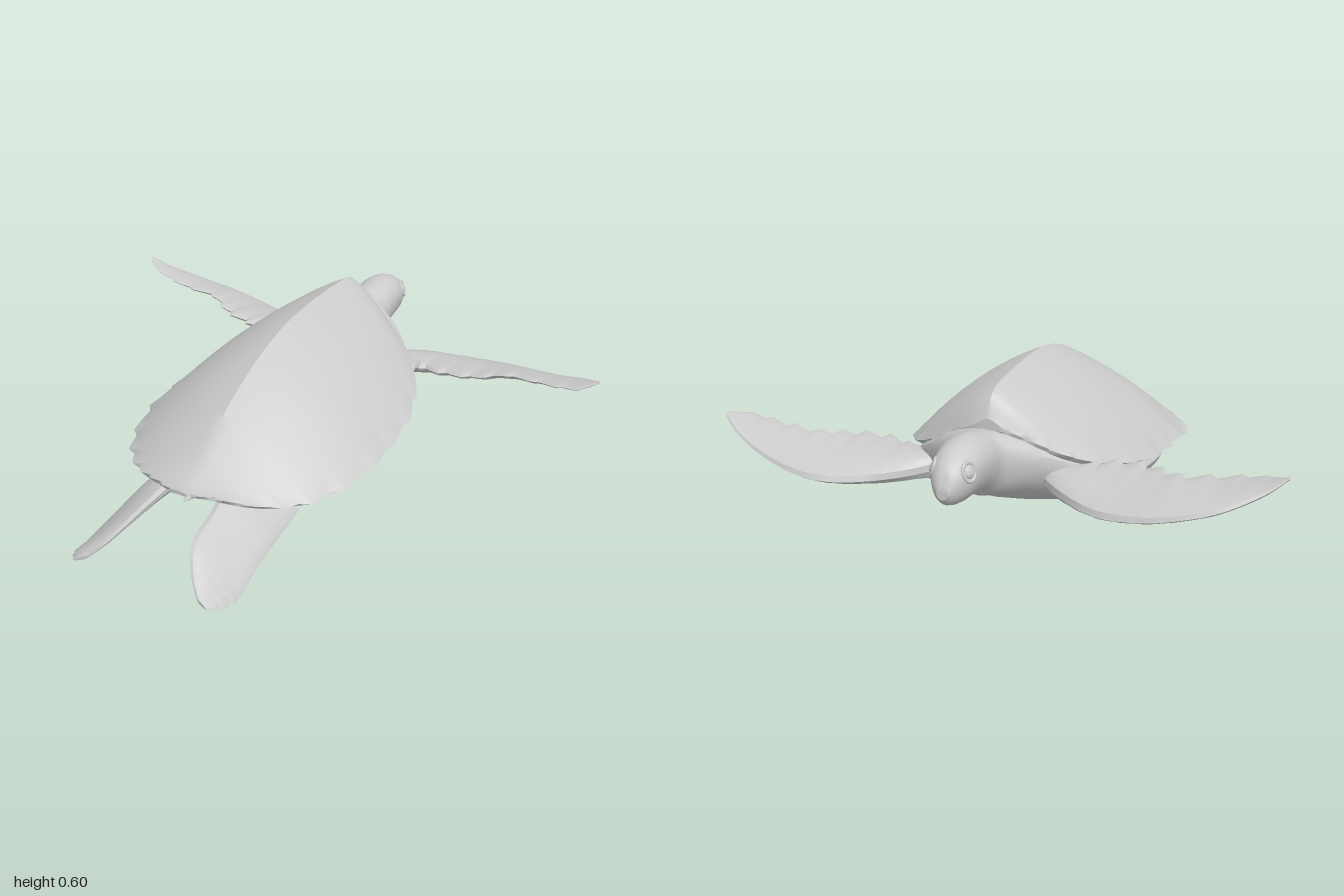
import * as THREE from 'three';
import { toCreasedNormals } from 'three/addons/utils/BufferGeometryUtils.js';

const material = new THREE.MeshStandardMaterial({ color: 0xcccccc });

// Smoothly interpolates every column of a table of stations, t in 0..1
function sample(table, t) {
  const last = table.length - 1;
  const s = Math.min(t, 1) * last;
  const i = Math.min(Math.floor(s), last - 1);
  const f = s - i;
  const row = (k) => table[Math.max(0, Math.min(last, k))];
  return table[i].map((b, c) => {
    const a = row(i - 1)[c], d = row(i + 1)[c], e = row(i + 2)[c];
    const m0 = (d - a) / 2, m1 = (e - b) / 2;
    const f2 = f * f, f3 = f2 * f;
    return (2 * f3 - 3 * f2 + 1) * b + (f3 - 2 * f2 + f) * m0 + (3 * f2 - 2 * f3) * d + (f3 - f2) * m1;
  });
}

// Skins closed loops of points, caps both ends and turns the faces outwards
function loft(name, loops, crease = 0.5) {
  const n = loops[0].length;
  const points = loops.flat();
  const index = [];
  for (let i = 0; i < loops.length - 1; i++) {
    for (let j = 0; j < n; j++) {
      const a = i * n + j, b = i * n + (j + 1) % n;
      index.push(a, b, a + n, b, b + n, a + n);
    }
  }
  [0, loops.length - 1].forEach((r, end) => {
    const centre = new THREE.Vector3();
    loops[r].forEach((p) => centre.addScaledVector(p, 1 / n));
    const c = points.push(centre) - 1;
    for (let j = 0; j < n; j++) {
      const a = r * n + j, b = r * n + (j + 1) % n;
      if (end) index.push(a, b, c); else index.push(b, a, c);
    }
  });
  let volume = 0;
  const cross = new THREE.Vector3();
  for (let k = 0; k < index.length; k += 3) {
    volume += points[index[k]].dot(cross.crossVectors(points[index[k + 1]], points[index[k + 2]]));
  }
  if (volume < 0) index.reverse();
  const geometry = new THREE.BufferGeometry().setFromPoints(points);
  geometry.setIndex(index);
  const mesh = new THREE.Mesh(toCreasedNormals(geometry, crease), material);
  mesh.name = name;
  return mesh;
}

// Ridged shell with a jagged rim; stations are z, half width, ridge y, rim y
function carapace() {
  const table = [
    [-0.585, 0.05, 0.5, 0.47], [-0.55, 0.15, 0.56, 0.42], [-0.5, 0.24, 0.585, 0.37],
    [-0.4, 0.345, 0.595, 0.32], [-0.2, 0.43, 0.6, 0.27], [0, 0.455, 0.585, 0.245],
    [0.2, 0.455, 0.53, 0.23], [0.4, 0.395, 0.435, 0.215], [0.52, 0.31, 0.35, 0.215],
    [0.6, 0.21, 0.295, 0.235], [0.66, 0.11, 0.28, 0.265], [0.7, 0.03, 0.283, 0.28],
  ];
  const loops = [];
  const columns = 20;
  for (let i = 0; i <= 72; i++) {
    const [z, w, top, rim] = sample(table, i / 72);
    const tooth = ((i % 5) / 4 - 0.5) * (0.012 + 0.028 * Math.max(0, i / 72 - 0.3));
    const loop = [];
    for (let j = 0; j <= columns; j++) {
      const u = 1 - (2 * j) / columns, a = Math.abs(u);
      const edge = a === 1 ? tooth * Math.sign(u) : 0;
      loop.push(new THREE.Vector3(-0.015 + u * w + edge, rim + (top - rim) * (1 - 0.5 * a - 0.5 * a * a), z));
    }
    for (const u of [-0.92, -0.4, 0.4, 0.92]) {
      loop.push(new THREE.Vector3(-0.015 + u * w, rim - 0.012, z));
    }
    loops.push(loop);
  }
  return loft('carapace', loops);
}

// Head, neck and belly in one skin; stations are z, half width, top y, bottom y
function body() {
  const table = [
    [-0.925, 0.02, 0.385, 0.345], [-0.9, 0.045, 0.435, 0.32], [-0.85, 0.07, 0.47, 0.305],
    [-0.78, 0.083, 0.49, 0.3], [-0.7, 0.088, 0.488, 0.28], [-0.64, 0.096, 0.475, 0.25],
    [-0.6, 0.14, 0.465, 0.235], [-0.55, 0.2, 0.45, 0.215], [-0.45, 0.3, 0.39, 0.17],
    [-0.3, 0.38, 0.32, 0.12], [-0.1, 0.42, 0.3, 0.1], [0.1, 0.42, 0.28, 0.095],
    [0.3, 0.37, 0.27, 0.11], [0.45, 0.27, 0.27, 0.145], [0.55, 0.17, 0.27, 0.18], [0.62, 0.05, 0.26, 0.22],
  ];
  const loops = [];
  for (let i = 0; i <= 60; i++) {
    const [z, w, top, bottom] = sample(table, i / 60);
    const middle = bottom + (top - bottom) * 0.58;
    const shift = -0.015 * THREE.MathUtils.smoothstep(z, -0.6, -0.2);
    const loop = [];
    for (let j = 0; j < 24; j++) {
      const a = (j / 24) * Math.PI * 2, s = Math.sin(a);
      loop.push(new THREE.Vector3(shift + w * Math.cos(a), middle + s * (s > 0 ? top - middle : middle - bottom), z));
    }
    loops.push(loop);
  }
  return loft('bodyAndHead', loops);
}

// Thin limb; stations are leading point, trailing point and half thickness.
// The trailing edge is toothed where t lies between from and to.
function flipper(name, table, teeth, from, to) {
  const loops = [];
  const steps = 40;
  const read = (t) => {
    const r = sample(table, t);
    return { lead: new THREE.Vector3(r[0], r[1], r[2]), trail: new THREE.Vector3(r[3], r[4], r[5]), thick: r[6] };
  };
  const span = read(1).lead.sub(read(0).lead).normalize();
  for (let i = 0; i <= steps; i++) {
    const t = i / steps;
    const { lead, trail, thick } = read(t);
    const chord = trail.clone().sub(lead);
    const normal = chord.clone().cross(span).normalize();
    if (t > from && t < to) trail.addScaledVector(chord, teeth * ((i % 4) / 3 - 0.5));
    const loop = [];
    for (let j = 0; j < 14; j++) {
      const a = (j / 14) * Math.PI * 2;
      const f = (1 - Math.cos(a)) / 2;
      loop.push(lead.clone().lerp(trail, f).addScaledVector(normal, Math.sin(a) * thick * (1.15 - 0.6 * f)));
    }
    loops.push(loop);
  }
  return loft(name, loops);
}

export function createModel() {
  const turtle = new THREE.Group();
  turtle.name = 'seaTurtle';
  turtle.add(carapace(), body());

  // Front flippers, each in its own stroke pose
  turtle.add(flipper('frontFlipperRight', [
    [-0.15, 0.28, -0.5, -0.2, 0.28, -0.4, 0.05], [-0.27, 0.265, -0.61, -0.32, 0.32, -0.42, 0.045],
    [-0.4, 0.255, -0.69, -0.42, 0.34, -0.41, 0.036], [-0.52, 0.265, -0.725, -0.54, 0.35, -0.45, 0.03],
    [-0.64, 0.285, -0.735, -0.64, 0.36, -0.52, 0.025], [-0.8, 0.325, -0.71, -0.78, 0.375, -0.52, 0.02],
    [-0.93, 0.38, -0.65, -0.91, 0.4, -0.54, 0.014], [-1, 0.43, -0.61, -0.99, 0.42, -0.585, 0.006],
  ], 0.12, 0.15, 0.9));
  turtle.add(flipper('frontFlipperLeft', [
    [0.15, 0.28, -0.5, 0.2, 0.28, -0.4, 0.05], [0.28, 0.265, -0.61, 0.31, 0.31, -0.43, 0.045],
    [0.42, 0.255, -0.68, 0.43, 0.325, -0.41, 0.036], [0.54, 0.255, -0.71, 0.56, 0.33, -0.43, 0.03],
    [0.66, 0.265, -0.695, 0.66, 0.34, -0.48, 0.025], [0.8, 0.295, -0.65, 0.8, 0.35, -0.47, 0.02],
    [0.92, 0.34, -0.595, 0.93, 0.365, -0.455, 0.014], [1, 0.38, -0.53, 0.99, 0.38, -0.5, 0.006],
  ], 0.12, 0.15, 0.9));

  // Hind flippers, slanting down and outwards
  turtle.add(flipper('hindFlipperRight', [
    [-0.12, 0.2, 0.4, -0.3, 0.11, 0.38, 0.035], [-0.12, 0.21, 0.55, -0.31, 0.09, 0.53, 0.035],
    [-0.13, 0.2, 0.65, -0.33, 0.05, 0.66, 0.027], [-0.16, 0.16, 0.77, -0.35, 0.015, 0.78, 0.02],
    [-0.2, 0.11, 0.85, -0.35, 0.015, 0.85, 0.014], [-0.26, 0.05, 0.885, -0.31, 0.03, 0.905, 0.007],
  ], 0.08, 0.6, 1));
  turtle.add(flipper('hindFlipperLeft', [
    [0.07, 0.2, 0.4, 0.26, 0.11, 0.38, 0.035], [0.06, 0.21, 0.55, 0.26, 0.08, 0.53, 0.035],
    [0.07, 0.19, 0.65, 0.26, 0.05, 0.66, 0.027], [0.085, 0.16, 0.78, 0.265, 0.01, 0.78, 0.02],
    [0.13, 0.1, 0.86, 0.25, 0.012, 0.87, 0.014], [0.185, 0.05, 0.91, 0.22, 0.03, 0.915, 0.007],
  ], 0.08, 0.6, 1));

  // Short tail under the rear of the shell
  const tail = new THREE.Mesh(new THREE.ConeGeometry(0.04, 0.16, 10), material);
  tail.name = 'tail';
  tail.rotation.x = Math.PI / 2;
  tail.position.set(-0.015, 0.225, 0.6);
  turtle.add(tail);

  // Eyes with raised lids
  for (const side of [-1, 1]) {
    const eye = new THREE.Group();
    eye.name = side > 0 ? 'eyeLeft' : 'eyeRight';
    const ball = new THREE.Mesh(new THREE.SphereGeometry(0.021, 14, 10), material);
    ball.name = 'eyeball';
    ball.scale.z = 0.5;
    const lid = new THREE.Mesh(new THREE.TorusGeometry(0.025, 0.006, 8, 18), material);
    lid.name = 'eyelid';
    lid.scale.y = 1.2;
    eye.add(ball, lid);
    eye.position.set(side * 0.06, 0.42, -0.855);
    eye.rotation.set(-0.3, side * 1.95, 0, 'YXZ');
    turtle.add(eye);
  }
  return turtle;
}
